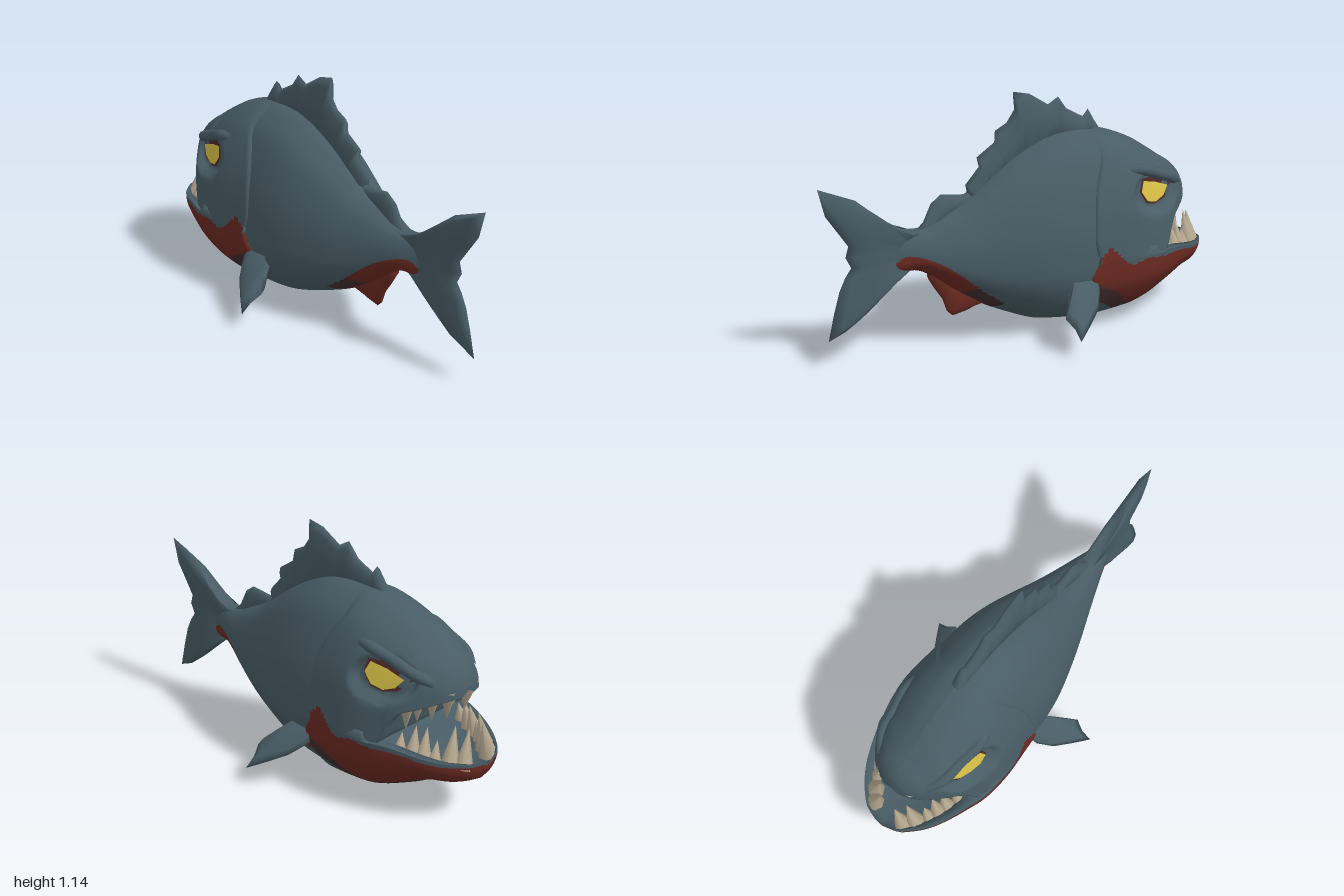
import * as THREE from 'three';

const mat = (name, color, side = THREE.FrontSide) => {
  const m = new THREE.MeshStandardMaterial({ color, side });
  m.name = name;
  return m;
};
const { smoothstep, lerp } = THREE.MathUtils;

// Smooth interpolation through [x, value] keys
const curve = keys => x => {
  const n = keys.length - 1;
  if (x <= keys[0][0]) return keys[0][1];
  if (x >= keys[n][0]) return keys[n][1];
  let i = 0;
  while (x > keys[i + 1][0]) i++;
  const [x0, y0] = keys[i], [x1, y1] = keys[i + 1], h = x1 - x0, t = (x - x0) / h;
  const slope = k => {
    const a = keys[Math.max(k - 1, 0)], b = keys[Math.min(k + 1, n)];
    return (b[1] - a[1]) / (b[0] - a[0]);
  };
  const t2 = t * t, t3 = t2 * t;
  return y0 * (2 * t3 - 3 * t2 + 1) + h * slope(i) * (t3 - 2 * t2 + t) +
    y1 * (3 * t2 - 2 * t3) + h * slope(i + 1) * (t3 - t2);
};

// Normalised half cross-sections (z, y)
const spline = pts => new THREE.SplineCurve(pts.map(p => new THREE.Vector2(...p)));
const bodyProfile = spline([[0, 1], [.3, .965], [.63, .86], [.9, .645], [1, .43], [.95, .25], [.6, .085], [0, 0]]).getPoints(64);
const upperProfile = spline([[0, 1], [.29, .95], [.62, .78], [.89, .43], [1, 0]]).getPoints(48);
const lowerProfile = spline([[1, 1], [.94, .6], [.6, .2], [0, 0]]).getPoints(40);

// Head outlines along x
const headTop = curve([[-.88, .61], [-.86, .66], [-.82, .71], [-.75, .755], [-.6, .85], [-.42, .92], [-.3, .935], [-.15, .93]]);
const upperLip = curve([[-.88, .575], [-.83, .56], [-.76, .53], [-.7, .505], [-.665, .45], [-.63, .365], [-.58, .36], [-.15, .36]]);
const upperWidth = curve([[-.88, .04], [-.86, .095], [-.82, .15], [-.75, .21], [-.65, .28], [-.55, .31], [-.45, .32], [-.3, .308], [-.15, .295]]);
const jawLip = curve([[-1, .31], [-.9, .32], [-.8, .34], [-.7, .36], [-.63, .365], [-.58, .36], [-.15, .36]]);
const jawBottom = curve([[-1, .265], [-.97, .215], [-.9, .18], [-.8, .16], [-.7, .105], [-.53, .03], [-.4, .01], [-.25, 0], [-.15, .01]]);
const jawWidth = curve([[-1, .03], [-.98, .09], [-.93, .15], [-.87, .2], [-.8, .24], [-.7, .28], [-.6, .31], [-.45, .32], [-.3, .308], [-.15, .295]]);
const gillEdge = curve([[0, -.3], [.12, -.26], [.28, -.215], [.36, -.25], [.45, -.23], [.6, -.245], [.7, -.27], [.8, -.32], [.87, -.38], [.94, -.4]]);
const cavity = curve([[-.75, .1], [-.7, .09], [-.62, 0], [-.56, -.05], [-.5, -.05]]);

// Trunk outlines along x
const bodyTop = curve([[-.5, .86], [-.44, .905], [-.4, .925], [-.3, .934], [-.2, .934], [-.1, .915], [0, .875], [.1, .82], [.2, .75], [.3, .68], [.4, .63], [.5, .585], [.6, .565], [.68, .56]]);
const bodyBottom = curve([[-.5, .05], [-.35, .01], [-.25, .002], [-.15, .012], [-.05, .035], [.1, .1], [.2, .15], [.3, .21], [.4, .28], [.5, .36], [.56, .385], [.62, .385], [.68, .38]]);
const bodyWidth = curve([[-.5, .27], [-.3, .287], [-.15, .285], [0, .265], [.2, .205], [.4, .13], [.55, .075], [.62, .05], [.68, .028]]);

// Boundaries of the red patches
const redTop = curve([[-1.02, .295], [-.85, .31], [-.7, .34], [-.63, .335], [-.5, .345], [-.4, .335], [-.3, .42], [-.24, .37], [-.2, .28]]);
const redLow = curve([[-1.02, 0], [-.87, .1], [-.8, .19], [-.6, .125], [-.45, .11], [-.36, .19], [-.25, .25]]);
const rearTop = curve([[.15, .18], [.25, .25], [.35, .33], [.45, .41], [.55, .46], [.62, .47], [.68, .43]]);

// Skin a list of closed rings, choosing a material index for each quad
function loft(rings, pick) {
  const n = rings[0].length, pos = [], buckets = [[], [], []];
  const mean = (r, k) => r.reduce((s, p) => s + p[k], 0) / n;
  rings.forEach(r => r.forEach(p => pos.push(...p)));
  for (let i = 0; i < rings.length - 1; i++) for (let j = 0; j < n; j++) {
    const k = (j + 1) % n, a = i * n + j, b = a + n, c = i * n + k, d = c + n;
    const p = rings[i][j], q = rings[i + 1][k];
    buckets[pick((p[0] + q[0]) / 2, (p[1] + q[1]) / 2, j)].push(a, c, b, b, c, d);
  }
  [0, rings.length - 1].forEach((i, end) => {
    const r = rings[i], id = pos.length / 3;
    pos.push(mean(r, 0), mean(r, 1), 0);
    for (let j = 0; j < n; j++) {
      const a = i * n + j, b = i * n + (j + 1) % n;
      buckets[pick(r[0][0], r[j][1], j)].push(...(end ? [id, a, b] : [id, b, a]));
    }
  });
  const g = new THREE.BufferGeometry();
  g.setAttribute('position', new THREE.Float32BufferAttribute(pos, 3));
  g.setIndex(buckets.flat());
  let start = 0;
  buckets.forEach((b, i) => { g.addGroup(start, b.length, i); start += b.length; });
  g.computeVertexNormals();
  return g;
}

const mirrorRing = (x, half) => [...half, ...half.slice(1, -1).reverse().map(([z, y]) => [-z, y])].map(([z, y]) => [x, y, z]);
const stations = (a, b, n, power, fn) => Array.from({ length: n + 1 }, (_, i) => fn(a + (b - a) * (i / n) ** power));

// Behind the gill edge the head skin sinks under the trunk, softly near the crown
const tuck = ring => ring.map(([x, y, z]) => {
  const s = smoothstep(x, gillEdge(y), gillEdge(y) + .025 + .18 * smoothstep(y, .8, .92));
  return [x, y + (.42 - y) * .05 * s, z * (1 - .14 * s)];
});

// Eye socket depth, and side distance of the upper head skin at (x, y)
const socket = (x, y) => (.045 - .2 * (y - .58)) * (1 - smoothstep(Math.hypot((x + .6) / .125, (y - .635) / .08), .95, 1.3));
function headZ(x, y) {
  const v = (y - upperLip(x)) / (headTop(x) - upperLip(x));
  const i = Math.max(1, upperProfile.findIndex(p => p.y <= v));
  const a = upperProfile[i - 1], b = upperProfile[i];
  return upperWidth(x) * (a.x + (b.x - a.x) * (a.y - v) / (a.y - b.y));
}

// Thin patch lying in the eye socket
function patch(outline, centre, lift, side) {
  const pos = [], idx = [], n = outline.length;
  [centre, ...outline].forEach(([x, y]) => pos.push(x, y, side * (headZ(x, y) - socket(x, y) + lift)));
  for (let i = 0; i < n; i++) idx.push(0, ...(side > 0 ? [1 + i, 1 + (i + 1) % n] : [1 + (i + 1) % n, 1 + i]));
  const g = new THREE.BufferGeometry();
  g.setAttribute('position', new THREE.Float32BufferAttribute(pos, 3));
  g.setIndex(idx);
  g.computeVertexNormals();
  return g;
}

// Fin from ribs [baseX, baseY, tipX, tipY], thick at the base and sharp at the tip
const finSection = [[1, 0], [.85, .65], [.5, .95], [0, 1], [0, -1], [.5, -.95], [.85, -.65]];
const finLoft = (ribs, half) => loft(ribs.map(([bx, by, tx, ty]) =>
  finSection.map(([s, t]) => [lerp(bx, tx, s), lerp(by, ty, s), t * half])), () => 0);

const dorsalRibs = [[-.46, .86, -.43, .9], [-.4, .88, -.41, .935], [-.36, .88, -.36, 1.015], [-.32, .88, -.335, .98], [-.25, .88, -.24, 1.03],
  [-.2, .88, -.195, 1.09], [-.14, .88, -.14, 1.06], [-.08, .87, -.04, 1.12], [-.04, .85, .045, 1.138], [0, .82, .03, 1.07], [.04, .8, .08, 1],
  [.08, .78, .14, .97], [.1, .76, .14, .92], [.15, .73, .235, .86], [.17, .71, .22, .82], [.22, .68, .295, .74], [.25, .65, .28, .7]];
const rearDorsalRibs = [[.22, .68, .26, .7], [.28, .64, .32, .7], [.36, .6, .42, .715], [.4, .58, .47, .68], [.45, .56, .51, .6], [.5, .54, .55, .565]];
const tailRibs = [[.5, .56, .56, .575], [.52, .55, .65, .585], [.55, .54, .75, .67], [.58, .53, .83, .75], [.6, .525, 1, .823], [.6, .52, .97, .7],
  [.61, .51, .93, .64], [.62, .5, .87, .55], [.62, .49, .885, .5], [.62, .48, .86, .45], [.62, .47, .89, .41], [.62, .46, .92, .35],
  [.61, .45, .95, .25], [.6, .45, .98, .13], [.59, .44, .9, .16], [.58, .43, .83, .21], [.57, .43, .75, .28], [.55, .43, .68, .35], [.54, .42, .62, .41]];
const analRibs = [[.47, .4, .49, .33], [.44, .38, .46, .28], [.4, .35, .42, .22], [.36, .32, .4, .16], [.32, .29, .37, .13],
  [.27, .27, .3, .14], [.22, .24, .25, .155], [.16, .22, .18, .165]];
const pectoralRibs = [[-.13, .06, -.12, 0], [-.14, .05, -.06, -.09], [-.15, .05, 0, -.16], [-.16, .05, -.02, -.22], [-.18, .05, -.02, -.285],
  [-.2, .05, -.1, -.22], [-.21, .05, -.18, -.15], [-.23, .05, -.23, -.07], [-.24, .05, -.24, 0]];

export function createModel() {
  const fish = new THREE.Group();
  fish.name = 'fish';
  const slate = mat('slate skin', 0x485c65), red = mat('red belly', 0x6c2a22), maroon = mat('dark maroon', 0x432d2f);
  const yellow = mat('yellow eye', 0xdac246, THREE.DoubleSide), rimRed = mat('eye rim', 0x4c2a27, THREE.DoubleSide);
  const ivory = mat('ivory tooth', 0xb5a78f);
  const skin = [slate, red, maroon];
  const add = (name, g, m, parent = fish) => {
    const mesh = new THREE.Mesh(g, m);
    mesh.name = name;
    parent.add(mesh);
    return mesh;
  };

  // Trunk, red under the tail stem
  add('trunk', loft(stations(-.5, .68, 130, 1, x =>
    mirrorRing(x, bodyProfile.map(p => [p.x * bodyWidth(x), bodyBottom(x) + p.y * (bodyTop(x) - bodyBottom(x))]))),
  (x, y) => {
    if (x > .17 && y < rearTop(x)) return x + y > .6 ? 1 : 2;
    return x < -.13 && y > .16 && y < .23 ? 1 : 0;
  }), skin);

  // Upper head with hollow palate
  const nu = upperProfile.length;
  add('upperHead', loft(stations(-.88, -.17, 120, 1.3, x => {
    const l = upperLip(x), h = headTop(x) - l, w = upperWidth(x), d = Math.min(cavity(x), h * .6), k = smoothstep(x, -.61, -.55);
    const outer = upperProfile.map(p => [p.x * w - socket(x, l + p.y * h) * Math.min(1, p.x * 3), l + p.y * h]);
    return tuck(mirrorRing(x, [...outer, [w * lerp(.83, .985, k), l + .003 - .04 * k], [w * .65, l + d], [0, l + d]]));
  }), (x, y, j) => (j < nu - 1 || j > nu + 4) && x > -.6 && y < redTop(x) ? 1 : 0), skin);

  // Lower jaw and throat
  const jawRing = 2 * (lowerProfile.length + 3) - 2;
  add('lowerJaw', loft(stations(-1, -.17, 130, 1.25, x => {
    const l = jawLip(x), h = l - jawBottom(x), w = jawWidth(x), d = Math.min(cavity(x), h * .5), k = smoothstep(x, -.61, -.55);
    return tuck(mirrorRing(x, [[0, l - d], [w * .68, l - d], [w * lerp(.85, .975, k), l + .04 * k],
      ...lowerProfile.map(p => [p.x * w, l - h + p.y * h])]));
  }), (x, y, j) => {
    if (j < 3 || j >= jawRing - 3 || y > redTop(x)) return 0;
    const low = redLow(x);
    if (y > low) return 1;
    return y > low - (x > -.42 ? .09 : .025) ? 2 : 0;
  }), skin);

  // Fins on the centre line
  add('dorsalFin', finLoft(dorsalRibs, .029), slate);
  add('rearDorsalFin', finLoft(rearDorsalRibs, .026), slate);
  add('tailFin', finLoft(tailRibs, .035), slate);
  add('analFin', finLoft(analRibs, .026), red);

  const eye = [[-.69, .645], [-.655, .603], [-.6, .582], [-.545, .597], [-.508, .645], [-.528, .693], [-.605, .675]];
  const rim = [[-.725, .65], [-.665, .59], [-.6, .572], [-.538, .587], [-.5, .645], [-.517, .705], [-.615, .7], [-.67, .685]];

  for (const side of [1, -1]) {
    const label = side > 0 ? 'left' : 'right';
    // Paired fins sloping out and down
    const fin = add(label + 'PectoralFin', finLoft(pectoralRibs, .028), slate);
    fin.rotation.x = -side * .9;
    fin.position.set(0, .265, side * .26);

    // Glaring sunken eye under a heavy brow
    add(label + 'EyeRim', patch(rim, [-.6, .635], .004, side), rimRed);
    add(label + 'Eye', patch(eye, [-.6, .635], .01, side), yellow);
    const browPath = new THREE.CatmullRomCurve3([[-.79, .635], [-.72, .675], [-.62, .713], [-.52, .745], [-.45, .75]]
      .map(([x, y], i) => new THREE.Vector3(x, y, side * (headZ(x, y) - (i % 4 ? .006 : .028)))));
    add(label + 'Brow', new THREE.TubeGeometry(browPath, 24, .026, 10), slate);
  }

  // Teeth set inside both lips, leaning inward: [x, length]
  const teeth = new THREE.Group();
  teeth.name = 'teeth';
  fish.add(teeth);
  const rows = [
    { name: 'upperTooth', list: [[-.86, .11], [-.815, .1], [-.765, .09], [-.725, .12]], y: upperLip, w: upperWidth, dir: -1, lean: .1 },
    { name: 'lowerTooth', list: [[-.965, .14], [-.92, .15], [-.865, .07], [-.82, .11], [-.775, .1], [-.72, .05]], y: jawLip, w: jawWidth, dir: 1, lean: .25 },
  ];
  for (const { name, list, y, w, dir, lean } of rows) for (const [x, len] of list) for (const side of [1, -1]) {
    const cone = new THREE.ConeGeometry(.022 + len * .16, len + .035, 7).translate(0, (len + .035) / 2, 0);
    const tooth = add(name, cone, ivory, teeth);
    tooth.position.set(x + .03, y(x) - dir * .035, side * w(x) * .78);
    tooth.rotation.set(-side * dir * lean, 0, dir > 0 ? -.05 : Math.PI + .1);
  }
  return fish;
}
